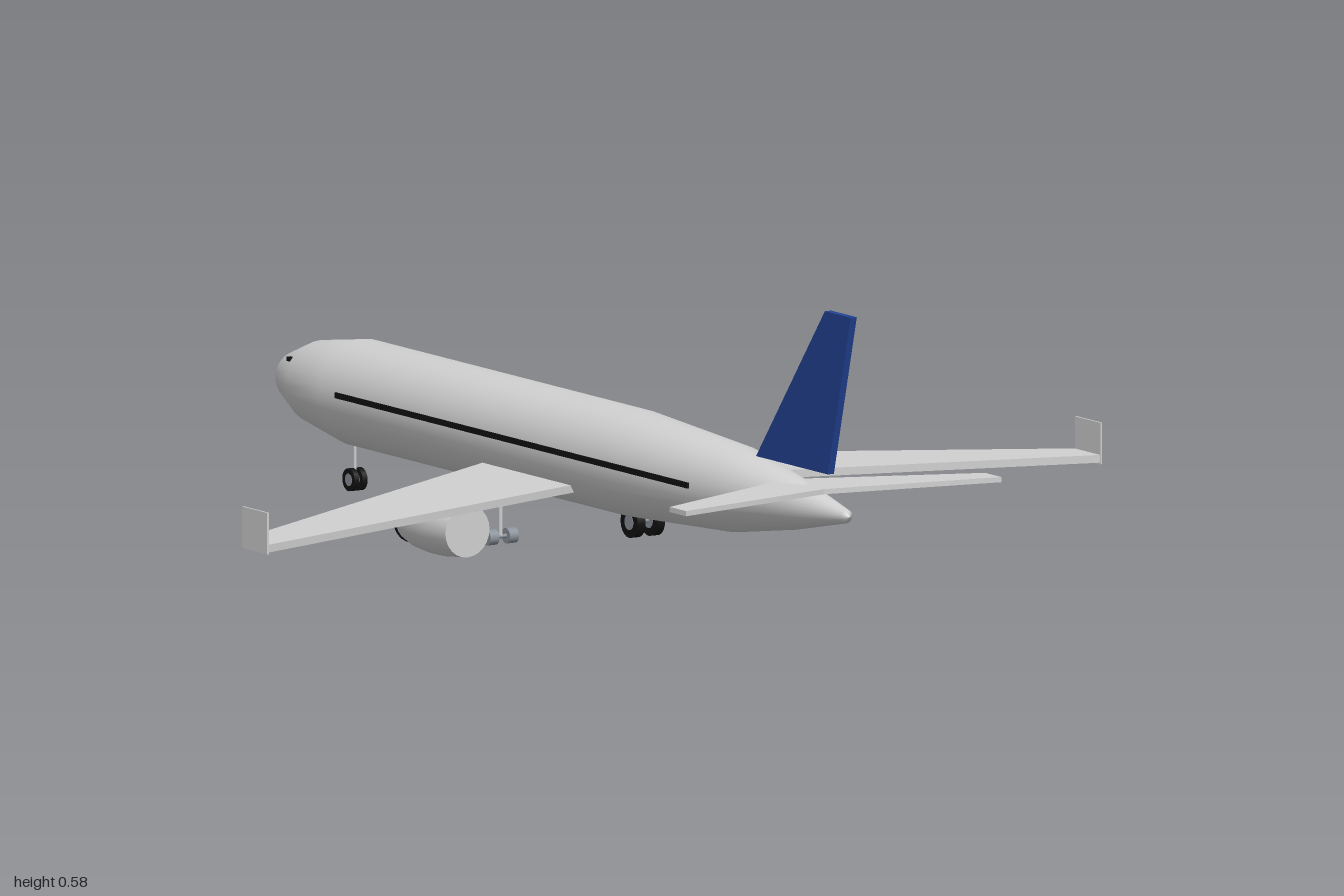
import * as THREE from 'three';

const mat = (name, color, side = THREE.FrontSide) => {
  const m = new THREE.MeshStandardMaterial({ color, side });
  m.name = name;
  return m;
};

export function createModel() {
  const model = new THREE.Group();
  model.name = 'airliner';
  const skin = mat('light grey skin', 0xd0d0d0);
  const blue = mat('tail blue', 0x224394);
  const black = mat('black', 0x111111);
  const metal = mat('wheel metal', 0x8c939c);

  const add = (name, geometry, material, x = 0, y = 0, z = 0, parent = model) => {
    const mesh = new THREE.Mesh(geometry, material);
    mesh.name = name;
    mesh.position.set(x, y, z);
    parent.add(mesh);
    return mesh;
  };
  // Round body along z from [radius, z] pairs
  const turned = (pairs, segments) =>
    new THREE.LatheGeometry(pairs.map(p => new THREE.Vector2(...p)), segments).rotateX(Math.PI / 2);
  const plate = (pairs, depth) =>
    new THREE.ExtrudeGeometry(new THREE.Shape(pairs.map(p => new THREE.Vector2(...p))),
      { depth, bevelEnabled: false });
  // Horizontal plate from [x, z] pairs, mirrored by side, hanging down from its top
  const wingPlate = (pairs, side, depth) =>
    plate(pairs.map(([x, z]) => [x * side, z]), depth).rotateX(Math.PI / 2);
  const wheelGeometry = (radius, width) =>
    new THREE.CylinderGeometry(radius, radius, width, 20).rotateZ(Math.PI / 2);

  // Fuselage, nose at -z
  add('fuselage', turned([[0.001, -1], [0.022, -0.98], [0.047, -0.945], [0.08, -0.86],
    [0.103, -0.71], [0.103, -0.3], [0.103, 0.24], [0.083, 0.6], [0.05, 0.8],
    [0.013, 0.975], [0.001, 0.985]], 32), skin, 0, 0.193, 0);

  // Vertical fin
  add('fin', plate([[0.67, 0.267], [0.92, 0.267], [1, 0.58], [0.91, 0.58]], 0.014)
    .rotateY(-Math.PI / 2), blue, 0.007, 0, 0);

  for (const side of [1, -1]) {
    const label = side > 0 ? 'left' : 'right';

    // Flying surfaces
    add(label + 'Wing', wingPlate([[0.05, -0.178], [0.945, 0.322], [0.945, 0.41], [0.05, 0.14]],
      side, 0.015), skin, 0, 0.145, 0);
    add(label + 'Winglet', new THREE.BoxGeometry(0.004, 0.08, 0.088), skin,
      side * 0.943, 0.167, 0.366);
    add(label + 'Tailplane', wingPlate([[0, 0.762], [0.357, 0.908], [0.357, 0.965], [0, 0.897]],
      side, 0.01), skin, 0, 0.235, 0);

    // Window band and cockpit window
    add(label + 'WindowBand', new THREE.BoxGeometry(0.004, 0.011, 1.23), black,
      side * 0.1025, 0.206, -0.035);
    add(label + 'CockpitWindow', new THREE.BoxGeometry(0.009, 0.008, 0.01), black,
      side * 0.06, 0.24, -0.875);

    // Engine with dark intake ring
    const engine = new THREE.Group();
    engine.name = label + 'Engine';
    engine.position.set(side * 0.3, 0.07, 0);
    model.add(engine);
    add('nacelle', turned([[0.044, -0.07], [0.053, -0.035], [0.057, 0.01], [0.056, 0.06],
      [0.05, 0.115]], 24), skin, 0, 0, 0, engine);
    add('intakeFace', new THREE.CircleGeometry(0.044, 24).rotateY(Math.PI), skin, 0, 0, -0.07, engine);
    add('exhaustFace', new THREE.CircleGeometry(0.05, 24), skin, 0, 0, 0.115, engine);
    add('intakeRing', new THREE.TorusGeometry(0.043, 0.0045, 8, 28), black, 0, 0, -0.07, engine);

    // Main landing gear; only the left side carries tyres
    const gear = new THREE.Group();
    gear.name = label + 'MainGear';
    gear.position.set(side * 0.161, 0, 0.016);
    model.add(gear);
    add('leg', new THREE.CylinderGeometry(0.004, 0.004, 0.1, 10), skin, 0, 0.084, 0, gear);
    add('axle', wheelGeometry(0.004, 0.05), metal, 0, 0.034, 0, gear);
    for (const s of [1, -1]) {
      add('hub', wheelGeometry(0.015, 0.02), metal, s * 0.022, 0.034, 0, gear);
      if (side > 0) add('tyre', wheelGeometry(0.03, 0.018), black, s * 0.022, 0.034, 0, gear);
    }

    // Nose wheel of this side
    add(label + 'NoseTyre', wheelGeometry(0.022, 0.011), black, side * 0.009, 0.022, -0.74);
    add(label + 'NoseHub', wheelGeometry(0.012, 0.012), metal, side * 0.009, 0.022, -0.74);
  }
  add('noseLeg', new THREE.CylinderGeometry(0.003, 0.003, 0.09, 10), skin, 0, 0.065, -0.74);

  return model;
}
